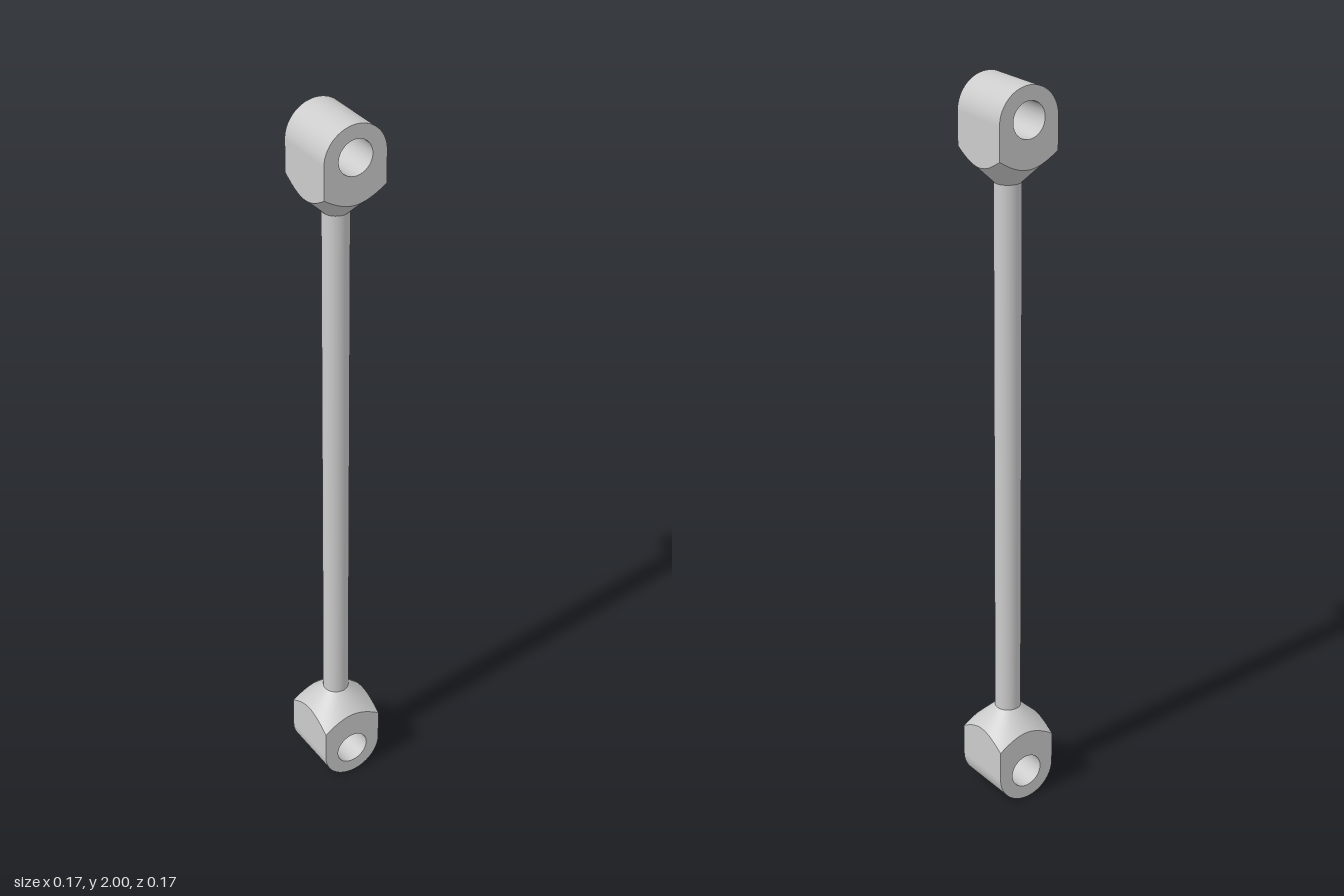
import * as THREE from 'three';

const H = 2;           // overall length
const R = 0.087;       // half width of the square eye block
const ROD = 0.035;     // rod radius
const HOLE = 0.047;    // pin hole radius
const PIN_Y = 0.085;   // pin hole centre height
const NECK_Y = 0.257;  // where the cone meets the rod
const SLOPE = 0.95;    // cone drop per unit of radius
const SEG = 64;        // multiple of 8, so cone vertices land on the block corners

const material = new THREE.MeshStandardMaterial({ color: 0xcccccc, side: THREE.DoubleSide });
const coneY = (r) => NECK_Y - SLOPE * (r - ROD);

function add(group, name, geometry) {
  const mesh = new THREE.Mesh(geometry, material);
  mesh.name = name;
  group.add(mesh);
  return mesh;
}

// Flat block face whose upper edge is the curve cut by the cone
function faceShape(rounded) {
  const shape = new THREE.Shape();
  if (rounded) shape.absarc(0, R, R, Math.PI, Math.PI * 2, false);
  else shape.moveTo(-R, R).lineTo(R, R);
  for (let i = SEG / 8; i >= -SEG / 8; i--) {
    const a = (i / SEG) * Math.PI * 2;
    shape.lineTo(R * Math.tan(a), coneY(R / Math.cos(a)));
  }
  shape.closePath();
  if (rounded) {
    const hole = new THREE.Path();
    hole.absarc(0, PIN_Y, HOLE, 0, Math.PI * 2, true);
    shape.holes.push(hole);
  }
  return shape;
}

// Cone from the rod out to the square outline of the block
function neckGeometry() {
  const g = new THREE.CylinderGeometry(ROD, R, (R - ROD) * SLOPE, SEG, 1, true);
  const p = g.attributes.position;
  for (let i = 0; i < p.count; i++) {
    const x = p.getX(i), z = p.getZ(i);
    if (p.getY(i) > 0) {
      p.setY(i, NECK_Y);
    } else {
      const k = R / Math.max(Math.abs(x), Math.abs(z));
      p.setXYZ(i, x * k, coneY(Math.hypot(x, z) * k), z * k);
    }
  }
  return g;
}

function createEye(name) {
  const eye = new THREE.Group();
  eye.name = name;
  // Four upright faces: rounded and drilled at front and back, plain at the sides
  ['frontFace', 'leftFace', 'backFace', 'rightFace'].forEach((face, i) => {
    const g = new THREE.ShapeGeometry(faceShape(i % 2 === 0), 24);
    g.translate(0, 0, R).rotateY((i * Math.PI) / 2);
    add(eye, face, g);
  });
  // Rounded end
  const end = new THREE.CylinderGeometry(R, R, 2 * R, 48, 1, true, -Math.PI / 2, Math.PI);
  end.rotateX(Math.PI / 2).translate(0, R, 0);
  add(eye, 'roundedEnd', end);
  // Pin hole wall
  const bore = new THREE.CylinderGeometry(HOLE, HOLE, 2 * R, 48, 1, true);
  bore.rotateX(Math.PI / 2).translate(0, PIN_Y, 0);
  add(eye, 'pinHole', bore);
  add(eye, 'neck', neckGeometry());
  return eye;
}

export function createModel() {
  const model = new THREE.Group();
  model.name = 'linkRod';

  const rod = add(model, 'rod', new THREE.CylinderGeometry(ROD, ROD, H - 2 * NECK_Y, SEG, 1, true));
  rod.position.y = H / 2;

  model.add(createEye('lowerEye'));
  const upper = createEye('upperEye');
  upper.rotation.z = Math.PI;
  upper.position.y = H;
  model.add(upper);
  return model;
}
